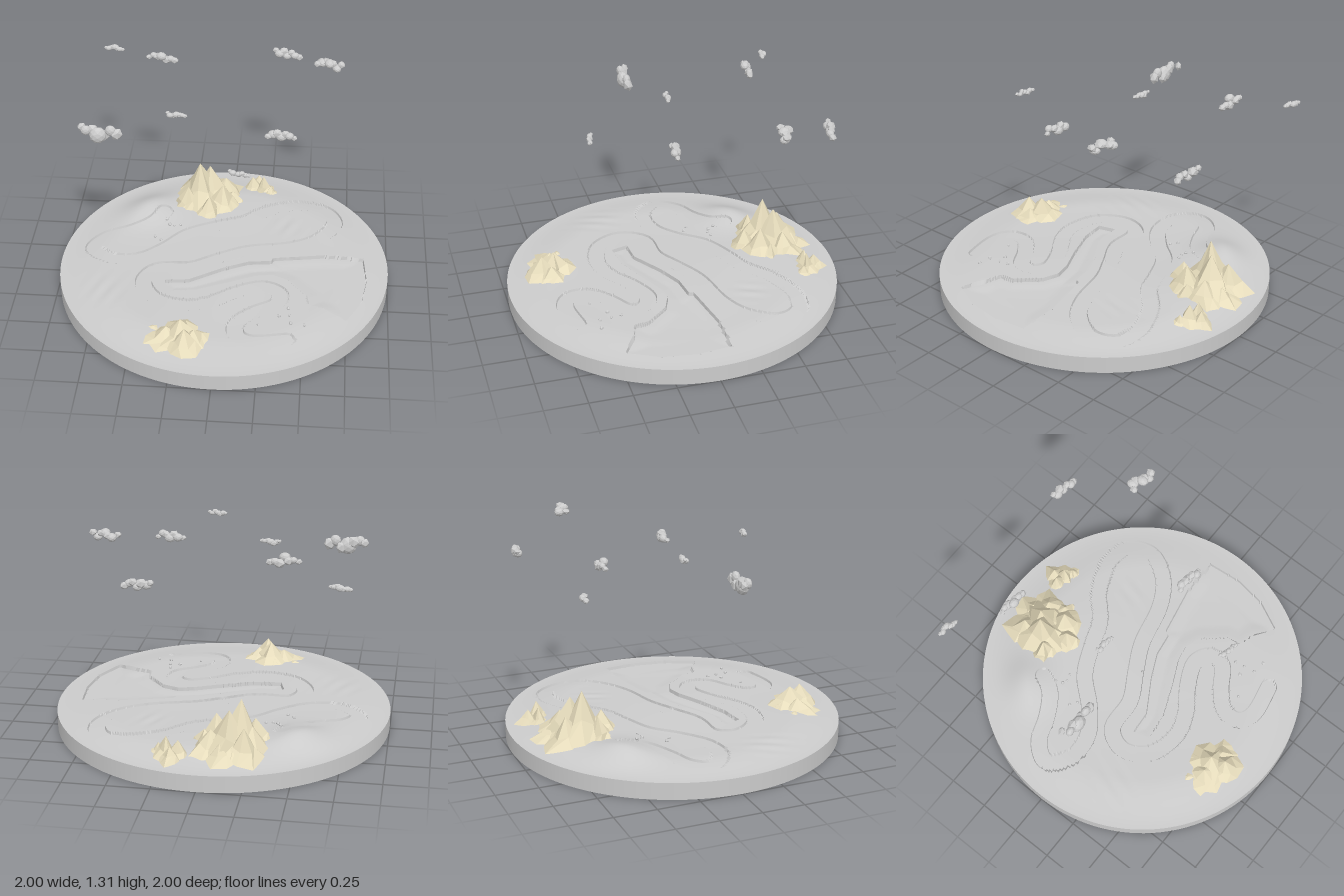
import * as THREE from 'three';
import { toCreasedNormals } from 'three/addons/utils/BufferGeometryUtils.js';

const V2 = (p) => new THREE.Vector2(p[0], p[1]);
const grey = new THREE.MeshStandardMaterial({ color: 0xcccccc });
const greyFlat = new THREE.MeshStandardMaterial({ color: 0xcccccc, flatShading: true });
const sand = new THREE.MeshStandardMaterial({ color: 0xe6dcbc, flatShading: true, side: THREE.DoubleSide });

// Small seeded generator
function seeded(seed) {
  let s = seed * 7919 + 17;
  return () => (s = (s * 16807) % 2147483647) / 2147483647;
}

// Winding river centre line and the lake outline, both in (x, z)
const river = new THREE.SplineCurve([
  [-0.41, -0.46], [-0.47, -0.36], [-0.6, -0.28], [-0.75, -0.22], [-0.82, -0.1], [-0.7, 0], [-0.53, -0.01],
  [-0.38, -0.12], [-0.24, -0.27], [-0.05, -0.36], [0.1, -0.42], [0.25, -0.55], [0.45, -0.63], [0.61, -0.6],
  [0.67, -0.45], [0.57, -0.28], [0.4, -0.18], [0.15, -0.12], [-0.03, -0.03], [-0.2, 0.06], [-0.4, 0.08],
  [-0.47, 0.22], [-0.38, 0.37], [-0.2, 0.42], [-0.05, 0.38], [0.1, 0.28], [0.25, 0.22], [0.35, 0.27],
  [0.34, 0.37], [0.22, 0.45], [0.12, 0.55], [0.12, 0.66], [0.22, 0.71], [0.41, 0.68],
].map(V2)).getPoints(170);
const lake = [
  [-0.34, 0.2], [-0.2, 0.19], [0, 0.07], [0.15, 0], [0.29, -0.02], [0.3, -0.05], [0.6, -0.11], [0.85, -0.11],
  [0.87, 0.1], [0.84, 0.3], [0.75, 0.48], [0.64, 0.4], [0.53, 0.37], [0.51, 0.28], [0.4, 0.15], [0.3, 0.11],
  [0.2, 0.13], [0.05, 0.2], [-0.15, 0.28], [-0.31, 0.3],
].map(V2);

function segmentDistance(x, z, a, b) {
  const dx = b.x - a.x, dz = b.y - a.y;
  const t = THREE.MathUtils.clamp(((x - a.x) * dx + (z - a.y) * dz) / (dx * dx + dz * dz), 0, 1);
  return Math.hypot(x - a.x - t * dx, z - a.y - t * dz);
}

function riverDistance(x, z) {
  let d = 9;
  for (let i = 1; i < river.length; i++) d = Math.min(d, segmentDistance(x, z, river[i - 1], river[i]));
  return d - 0.05;
}

function lakeDistance(x, z) {
  let d = 9, inside = false;
  lake.forEach((a, i) => {
    const b = lake[(i + 1) % lake.length];
    d = Math.min(d, segmentDistance(x, z, a, b));
    if ((a.y > z) !== (b.y > z) && x < a.x + ((z - a.y) / (b.y - a.y)) * (b.x - a.x)) inside = !inside;
  });
  return inside ? -d : d;
}

const bankDistance = (x, z) => Math.min(riverDistance(x, z), lakeDistance(x, z));
const bump = (x, z, cx, cz, r) => Math.exp(-((x - cx) ** 2 + (z - cz) ** 2) / (r * r));

// Height of the ground before the water is cut in
function groundHeight(x, z) {
  const edge = THREE.MathUtils.smoothstep(1 - Math.hypot(x, z), 0, 0.3);
  let h = 0.028 + 0.006 * Math.sin(5 * x + 1) * Math.cos(4 * z);
  h += 0.05 * bump(x, z, -0.52, -0.52, 0.17) + 0.02 * bump(x, z, 0, -0.6, 0.3);
  // Rippled meadows
  h += 0.003 * Math.sin(60 * x + 25 * z) * (bump(x, z, 0.37, -0.38, 0.08) + bump(x, z, -0.72, 0.32, 0.13));
  return 0.1 + edge * h;
}

// Polar sheet whose vertices are pulled to the banks, giving steep clean walls
function makeGround() {
  const rings = 110, segs = 360, e = 0.002, pos = [0, groundHeight(0, 0), 0], index = [];
  for (let r = 1; r <= rings; r++) {
    for (let s = 0; s < segs; s++) {
      const a = (s / segs) * Math.PI * 2;
      let x = (r / rings) * Math.cos(a), z = (r / rings) * Math.sin(a);
      let d = bankDistance(x, z);
      if (Math.abs(d) < 0.009) {
        const gx = bankDistance(x + e, z) - bankDistance(x - e, z);
        const gz = bankDistance(x, z + e) - bankDistance(x, z - e);
        const move = ((d < 0 ? -0.002 : 0.002) - d) / (Math.hypot(gx, gz) || 1);
        x += gx * move;
        z += gz * move;
      }
      let y = groundHeight(x, z);
      if (d < 0) {
        const deep = lakeDistance(x, z);
        y -= deep < 0.003 ? 0.022 + 0.008 * THREE.MathUtils.smoothstep(-deep, 0, 0.1) : 0.014;
      }
      pos.push(x, Math.max(y, 0.092), z);
      const n = (s + 1) % segs, o = 1 + (r - 1) * segs, i = o - segs;
      if (r === 1) index.push(0, o + n, o + s);
      else index.push(i + s, i + n, o + s, i + n, o + n, o + s);
    }
  }
  const geo = new THREE.BufferGeometry();
  geo.setAttribute('position', new THREE.Float32BufferAttribute(pos, 3));
  geo.setIndex(index);
  return toCreasedNormals(geo, 0.5);
}

// Jagged cone with uneven foot and shoulder
function makePeak(x, z, top, radius, rand) {
  const sides = 8, pos = [], index = [];
  for (let ring = 0; ring < 2; ring++) {
    for (let s = 0; s < sides; s++) {
      const a = ((s + 0.5 * rand()) / sides) * Math.PI * 2;
      const r = radius * (ring ? 0.33 + 0.22 * rand() : 0.8 + 0.4 * rand());
      const y = ring ? 0.1 + (top - 0.1) * (0.32 + 0.2 * rand()) : 0.1;
      pos.push(x + r * Math.cos(a), y, z + r * Math.sin(a));
      const n = (s + 1) % sides;
      if (ring) index.push(sides + s, 2 * sides, sides + n);
      else index.push(s, sides + s, n, n, sides + s, sides + n);
    }
  }
  pos.push(x, top, z);
  const geo = new THREE.BufferGeometry();
  geo.setAttribute('position', new THREE.Float32BufferAttribute(pos, 3));
  geo.setIndex(index);
  geo.computeVertexNormals();
  return new THREE.Mesh(geo, sand);
}

function makeMountain(name, seed, peaks) {
  const group = new THREE.Group(), rand = seeded(seed);
  group.name = name;
  for (const [x, z, top, radius] of peaks) {
    const peak = makePeak(x, z, top, radius, rand);
    peak.name = 'peak';
    group.add(peak);
  }
  return group;
}

// Cloud of faceted puffs, largest in the middle
function makeCloud([x, y, z, width, height, depth], seed) {
  const group = new THREE.Group(), rand = seeded(seed);
  group.name = 'cloud';
  for (let i = 0; i < 7; i++) {
    const t = i / 6 - 0.5, size = 0.75 + 0.25 * rand() - 0.5 * Math.abs(t);
    const puff = new THREE.Mesh(new THREE.IcosahedronGeometry(0.5, i % 2), greyFlat);
    puff.name = 'puff';
    puff.scale.set(width * 0.36 * size, height * 0.75 * size, depth * 0.75 * size);
    puff.position.set(t * width * 0.74, (rand() - 0.5) * height * 0.4, (rand() - 0.5) * depth * 0.4);
    puff.rotation.y = rand() * 0.6;
    group.add(puff);
  }
  group.position.set(x, y, z);
  group.rotation.set(0, -0.15, -0.08);
  return group;
}

export function createModel() {
  const model = new THREE.Group();
  const add = (name, geo, mat) => {
    const mesh = new THREE.Mesh(geo, mat);
    mesh.name = name;
    model.add(mesh);
    return mesh;
  };

  // Round base: wall and underside
  add('baseWall', new THREE.CylinderGeometry(1, 1, 0.1, 120, 1, true).translate(0, 0.05, 0), grey);
  add('baseUnderside', new THREE.CircleGeometry(1, 120).rotateX(Math.PI / 2), grey);
  add('ground', makeGround(), grey);

  // Mountains: x, z, summit height, foot radius
  model.add(makeMountain('tallMountain', 3, [
    [-0.2, -0.64, 0.41, 0.2], [-0.14, -0.69, 0.36, 0.19], [-0.05, -0.58, 0.29, 0.15], [-0.27, -0.57, 0.27, 0.13],
    [-0.13, -0.5, 0.25, 0.13], [-0.23, -0.75, 0.28, 0.17], [-0.04, -0.72, 0.25, 0.15], [0.01, -0.63, 0.21, 0.12],
    [-0.1, -0.8, 0.2, 0.12],
  ]));
  model.add(makeMountain('smallMountain', 5, [
    [0.13, -0.8, 0.21, 0.08], [0.2, -0.79, 0.225, 0.09], [0.17, -0.85, 0.19, 0.08], [0.25, -0.76, 0.17, 0.07],
  ]));
  model.add(makeMountain('frontMountain', 8, [
    [-0.2, 0.69, 0.24, 0.16], [-0.17, 0.77, 0.235, 0.14], [-0.28, 0.7, 0.19, 0.17], [-0.12, 0.72, 0.19, 0.14],
    [-0.36, 0.64, 0.14, 0.13], [-0.23, 0.62, 0.16, 0.12],
  ]));

  // Clouds: centre x, y, z, then width, height, depth
  [
    [-0.71, 1.11, 0.11, 0.28, 0.14, 0.1], [-0.42, 1.21, -0.59, 0.21, 0.08, 0.08], [-0.28, 1.14, -0.05, 0.14, 0.05, 0.05],
    [0.12, 1.14, 0.51, 0.14, 0.05, 0.05], [0.33, 1.11, 0.08, 0.2, 0.08, 0.08], [0.33, 1.12, -0.84, 0.2, 0.08, 0.08],
    [0.59, 1.27, -0.48, 0.19, 0.08, 0.11], [-0.74, 1.14, -0.8, 0.14, 0.05, 0.05],
  ].forEach((c, i) => model.add(makeCloud(c, i + 2)));

  // Scattered boulders
  const rand = seeded(11);
  [
    [0.41, 0.42], [0.42, 0.48], [0.36, 0.49], [0.24, 0.57], [0.43, 0.55], [0.51, 0.56], [-0.39, -0.38],
    [-0.37, -0.34], [-0.34, -0.33], [-0.3, -0.34], [-0.45, -0.22], [-0.41, -0.19],
  ].forEach(([x, z]) => {
    const rock = add('boulder', new THREE.DodecahedronGeometry(0.008 + 0.005 * rand()), greyFlat);
    rock.position.set(x, groundHeight(x, z) + 0.004, z);
    rock.rotation.set(rand() * 3, rand() * 3, 0);
  });
  return model;
}
